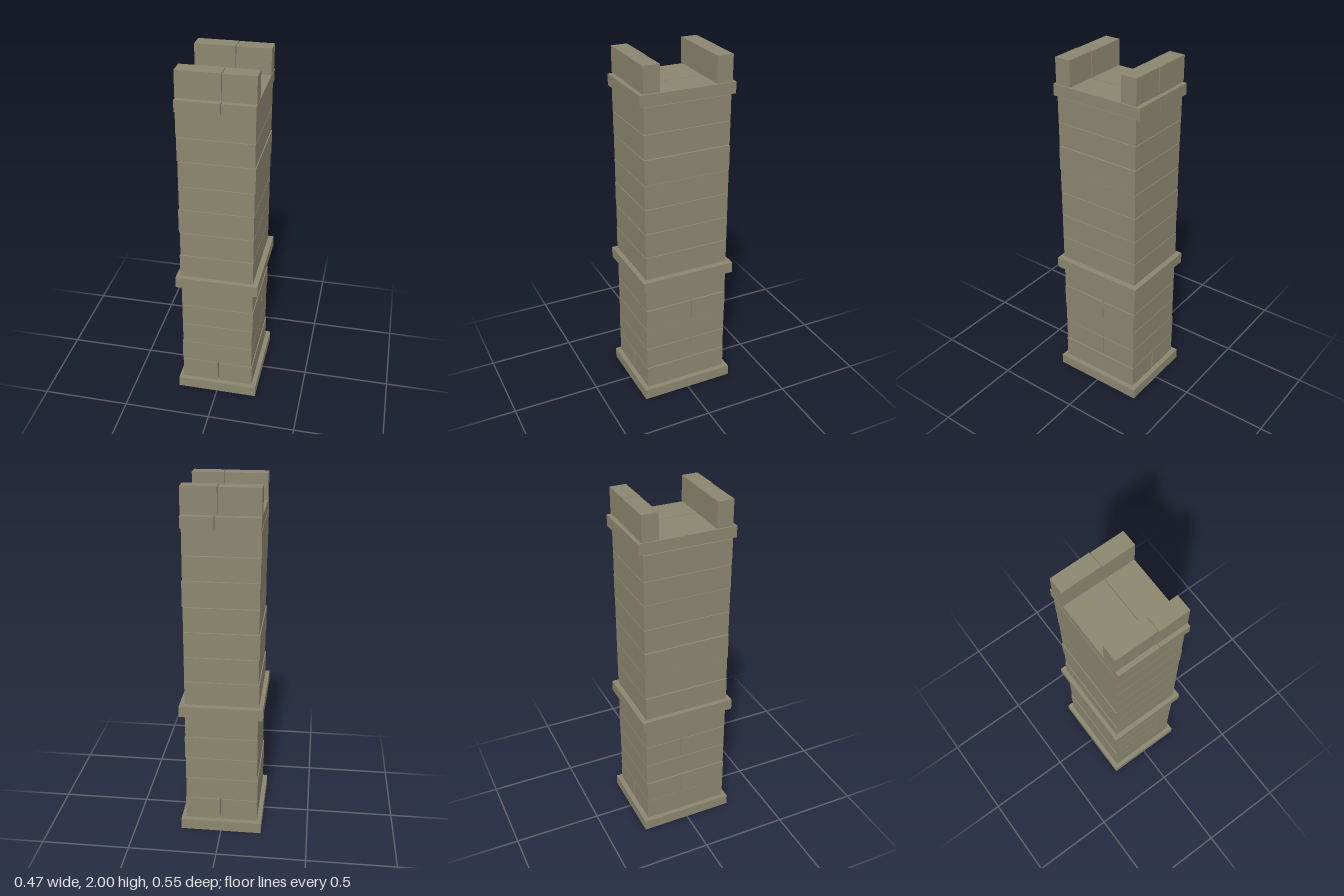
import * as THREE from 'three';

const GAP = 0.004;

export function createModel() {
  const tower = new THREE.Group();
  tower.name = 'stoneTower';
  const stone = new THREE.MeshStandardMaterial({ color: 0x8b866f, side: THREE.DoubleSide });
  stone.name = 'weathered stone';

  // Block given by its extents on each axis
  function block(name, [x0, x1], [y0, y1], [z0, z1]) {
    const geometry = new THREE.BoxGeometry(x1 - x0, y1 - y0, z1 - z0);
    const mesh = new THREE.Mesh(geometry, stone);
    mesh.name = name;
    mesh.position.set((x0 + x1) / 2, (y0 + y1) / 2, (z0 + z1) / 2);
    tower.add(mesh);
    return mesh;
  }

  // Plinth, hollow and open underneath
  const plinth = block('plinth', [-0.233, 0.233], [0, 0.062], [-0.275, 0.275]);
  const index = Array.from(plinth.geometry.index.array);
  index.splice(18, 6);
  plinth.geometry.setIndex(index);
  plinth.geometry.clearGroups();

  // Belt course between the two storeys
  block('beltCourse', [-0.233, 0.233], [0.731, 0.794], [-0.275, 0.275]);

  // Stone courses: bottom, top, left edge, right edge, optional split { axis, at, gap }
  const courses = [
    [0.064, 0.197, -0.208, 0.207, { axis: 'x', at: 0.005, gap: 0.008 }],
    [0.197, 0.330, -0.210, 0.203, { axis: 'z', at: -0.03, gap: 0.002 }],
    [0.330, 0.461, -0.205, 0.203],
    [0.461, 0.593, -0.205, 0.207, { axis: 'z', at: -0.03, gap: 0.006 }],
    [0.593, 0.730, -0.205, 0.203],
    [0.796, 0.934, -0.210, 0.203],
    [0.934, 1.078, -0.205, 0.203],
    [1.078, 1.223, -0.210, 0.203],
    [1.223, 1.363, -0.205, 0.203],
    [1.363, 1.508, -0.205, 0.207],
    [1.508, 1.643, -0.208, 0.203],
    [1.643, 1.788, -0.210, 0.203],
  ];
  for (const [y0, y1, x0, x1, split] of courses) {
    const y = [y0 + GAP / 2, y1 - GAP / 2];
    const z = [-0.247, 0.25];
    if (!split) {
      block('stoneCourse', [x0, x1], y, z);
    } else {
      const a = split.at - split.gap / 2, b = split.at + split.gap / 2;
      if (split.axis === 'x') {
        block('courseStoneRight', [x0, a], y, z);
        block('courseStoneLeft', [b, x1], y, z);
      } else {
        block('courseStoneBack', [x0, x1], y, [z[0], a]);
        block('courseStoneFront', [x0, x1], y, [b, z[1]]);
      }
    }
  }

  // Two slabs forming the roof deck
  block('deckSlabRight', [-0.209, 0.028], [1.79, 1.853], [-0.272, 0.272]);
  block('deckSlabLeft', [0.032, 0.207], [1.79, 1.853], [-0.272, 0.272]);

  // Parapet stones along the front and back
  const parapetY = [1.857, 2];
  block('frontParapetRight', [-0.209, 0.028], parapetY, [0.157, 0.248]);
  block('frontParapetLeft', [0.032, 0.207], parapetY, [0.16, 0.252]);
  block('backParapetRight', [-0.209, 0.014], parapetY, [-0.253, -0.161]);
  block('backParapetLeft', [0.018, 0.207], parapetY, [-0.25, -0.159]);

  return tower;
}
